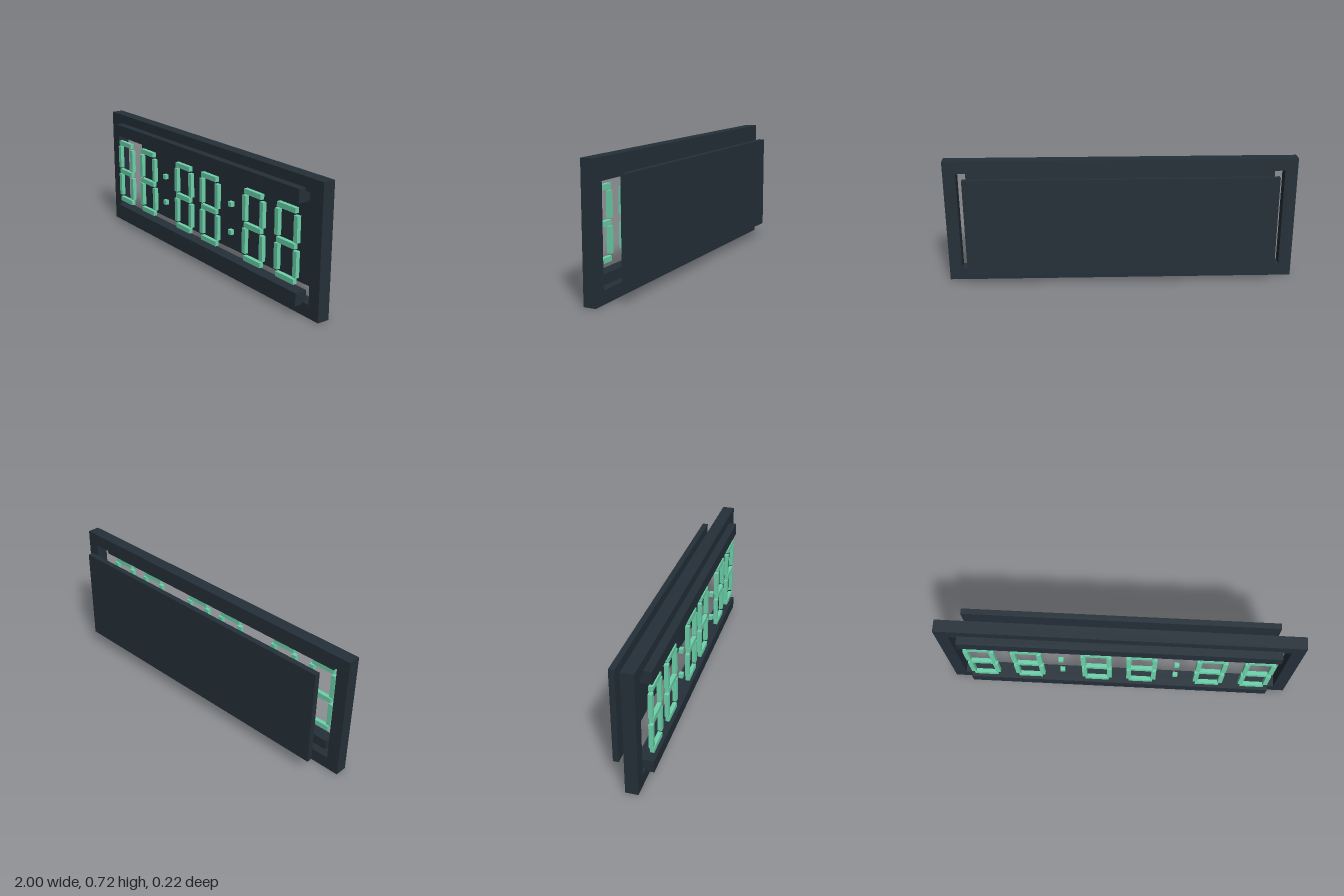
import * as THREE from 'three';

export function createModel() {
  const model = new THREE.Group();
  model.name = 'digitalClock';
  const casing = new THREE.MeshStandardMaterial({ name: 'dark slate', color: 0x253039 });
  const lit = new THREE.MeshStandardMaterial({ name: 'mint green', color: 0x6cd3ab });

  // Box between two corners
  function box(name, parent, material, [x0, x1], [y0, y1], [z0, z1]) {
    const mesh = new THREE.Mesh(new THREE.BoxGeometry(x1 - x0, y1 - y0, z1 - z0), material);
    mesh.position.set((x0 + x1) / 2, (y0 + y1) / 2, (z0 + z1) / 2);
    mesh.name = name;
    parent.add(mesh);
  }

  // Open rectangular frame
  const outline = new THREE.Shape();
  outline.moveTo(-1, 0).lineTo(1, 0).lineTo(1, 0.72).lineTo(-1, 0.72).closePath();
  const opening = new THREE.Path();
  opening.moveTo(-0.928, 0.072).lineTo(-0.928, 0.648).lineTo(0.928, 0.648).lineTo(0.928, 0.072).closePath();
  outline.holes.push(opening);
  const frame = new THREE.Mesh(
    new THREE.ExtrudeGeometry(outline, { depth: 0.07, bevelEnabled: false }), casing);
  frame.position.z = -0.005;
  frame.name = 'frame';
  model.add(frame);

  // Back panel standing clear of the frame, and the two front rails
  box('backPanel', model, casing, [-0.88, 0.88], [0.08, 0.64], [-0.11, -0.078]);
  box('lowerRail', model, casing, [-0.88, 0.88], [0.057, 0.128], [0.04, 0.11]);
  box('upperRail', model, casing, [-0.88, 0.88], [0.593, 0.665], [0.04, 0.11]);

  // Six seven-segment digits
  const depth = [0.08, 0.103];
  [-0.783, -0.519, -0.128, 0.128, 0.519, 0.783].forEach((x, i) => {
    const digit = new THREE.Group();
    digit.name = `digit${i + 1}`;
    digit.position.x = x;
    for (const y of [0.161, 0.347, 0.533])
      box('horizontalSegment', digit, lit, [-0.071, 0.067], [y, y + 0.028], depth);
    for (const y of [0.2, 0.383])
      for (const side of [-0.072, 0.072])
        box('verticalSegment', digit, lit, [side - 0.0135, side + 0.0135], [y, y + 0.14], depth);
    model.add(digit);
  });

  // Colon dots between the pairs
  for (const x of [-0.326, 0.324])
    for (const y of [0.283, 0.442])
      box('colonDot', model, lit, [x - 0.0135, x + 0.0135], [y - 0.0135, y + 0.0135], depth);

  return model;
}
